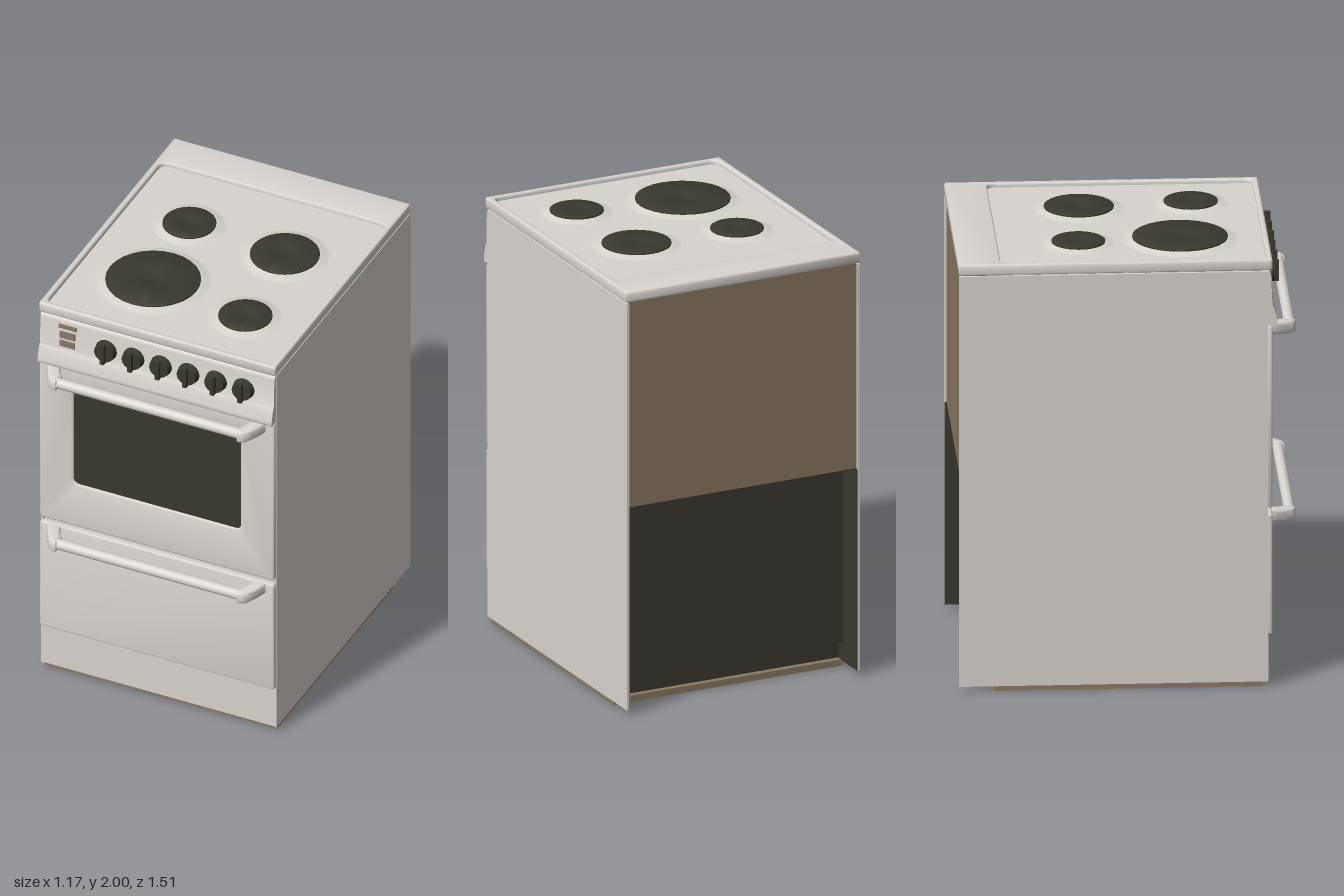
import * as THREE from 'three';
import { toCreasedNormals } from 'three/addons/utils/BufferGeometryUtils.js';

const mat = (name, color) => {
  const m = new THREE.MeshStandardMaterial({ color });
  m.name = name;
  return m;
};

// Rounded rectangle as a shape or hole path
function roundRect(x0, y0, x1, y1, r, Type = THREE.Shape) {
  const s = new Type();
  s.moveTo(x0 + r, y0);
  s.lineTo(x1 - r, y0);
  s.quadraticCurveTo(x1, y0, x1, y0 + r);
  s.lineTo(x1, y1 - r);
  s.quadraticCurveTo(x1, y1, x1 - r, y1);
  s.lineTo(x0 + r, y1);
  s.quadraticCurveTo(x0, y1, x0, y1 - r);
  s.lineTo(x0, y0 + r);
  s.quadraticCurveTo(x0, y0, x0 + r, y0);
  return s;
}

// Extrusion of exact overall depth with softened edges
function softExtrude(shape, depth, bevel) {
  const g = new THREE.ExtrudeGeometry(shape, {
    depth: depth - 2 * bevel, bevelEnabled: true, bevelSize: bevel, bevelThickness: bevel,
    bevelOffset: -bevel, bevelSegments: 3, curveSegments: 6,
  });
  g.translate(0, 0, bevel);
  return toCreasedNormals(g, 0.7);
}

export function createModel() {
  const enamel = mat('enamel', 0xd8d4cf);
  const dark = mat('darkIron', 0x3a392f);
  const brown = mat('brownMetal', 0x8a7a62);
  const root = new THREE.Group();
  root.name = 'cooker';

  const add = (name, geo, material, parent = root) => {
    const m = new THREE.Mesh(geo, material);
    m.name = name;
    parent.add(m);
    return m;
  };
  // Box given by its limits
  const box = (name, x0, x1, y0, y1, z0, z1, material, parent) => {
    const g = new THREE.BoxGeometry(x1 - x0, y1 - y0, z1 - z0);
    g.translate((x0 + x1) / 2, (y0 + y1) / 2, (z0 + z1) / 2);
    return add(name, g, material, parent);
  };

  // Carcass, base and back
  box('carcass', -0.568, 0.568, 0.03, 1.95, -0.56, 0.605, enamel);
  box('basePlate', -0.57, 0.57, 0, 0.03, -0.6, 0.6, brown);
  box('upperBackPanel', -0.568, 0.568, 0.98, 1.95, -0.745, -0.56, brown);
  box('upperBackUnderside', -0.567, 0.567, 0.974, 0.98, -0.744, -0.56, dark);
  box('recessedBackPanel', -0.567, 0.567, 0.12, 0.974, -0.625, -0.56, dark);
  box('recessFoot', -0.567, 0.567, 0.031, 0.12, -0.575, -0.56, dark);
  for (const s of [-1, 1]) {
    const a = s * 0.568, b = s * 0.58, c = s * 0.563;
    box('sidePanel', Math.min(a, b), Math.max(a, b), 0.025, 1.945, -0.755, 0.62, enamel);
    box('sideLiner', Math.min(a, c), Math.max(a, c), 0.027, 0.976, -0.753, -0.56, dark);
  }

  // Hob: raised rim around a sunken pan
  const rim = roundRect(-0.583, -0.64, 0.583, 0.755, 0.012);
  rim.holes.push(roundRect(-0.555, -0.615, 0.555, 0.567, 0.04, THREE.Path));
  const rimGeo = softExtrude(rim, 0.05, 0.008);
  rimGeo.rotateX(-Math.PI / 2);
  rimGeo.translate(0, 1.95, 0);
  add('hobRim', rimGeo, enamel);
  box('hobPan', -0.565, 0.565, 1.953, 1.98, -0.58, 0.625, enamel);

  // Hotplates on raised bosses: x, z, radius
  for (const [x, z, r] of [[-0.245, -0.205, 0.12], [0.24, -0.175, 0.156],
    [-0.205, 0.25, 0.213], [0.285, 0.325, 0.121]]) {
    const g = new THREE.Group();
    g.name = 'hotplate';
    g.position.set(x, 1.98, z);
    root.add(g);
    const lathe = (pts) => toCreasedNormals(
      new THREE.LatheGeometry(pts.map(([a, b]) => new THREE.Vector2(a, b)), 28), 0.6);
    add('hotplateBoss', lathe([[r + 0.045, 0], [r + 0.025, 0.003], [r + 0.008, 0.01], [r - 0.01, 0.011]]), enamel, g);
    add('hotplateDisc', lathe([[r, 0.005], [r, 0.016], [r - 0.005, 0.019], [0.05, 0.019],
      [0.042, 0.015], [0, 0.015]]), dark, g);
  }

  // Control panel with a lip along its lower edge
  const profile = new THREE.Shape();
  profile.moveTo(0.6, 1.69);
  profile.lineTo(0.66, 1.69);
  profile.quadraticCurveTo(0.667, 1.7, 0.661, 1.72);
  profile.quadraticCurveTo(0.652, 1.765, 0.64, 1.785);
  profile.lineTo(0.634, 1.925);
  profile.quadraticCurveTo(0.632, 1.943, 0.615, 1.945);
  profile.lineTo(0.6, 1.945);
  const panel = new THREE.ExtrudeGeometry(profile, { depth: 1.152, bevelEnabled: false, curveSegments: 6 });
  panel.rotateY(-Math.PI / 2);
  // Rotation sends profile x to +z and depth to -x
  panel.translate(0.576, 0, 0);
  add('controlPanel', toCreasedNormals(panel, 0.6), enamel);

  // Knobs with grip bars
  for (let i = 0; i < 6; i++) {
    const x = -0.25 + i * 0.1355;
    const disc = new THREE.CylinderGeometry(0.046, 0.053, 0.035, 24);
    disc.rotateX(Math.PI / 2);
    disc.translate(x, 1.84, 0.65);
    add('knob', toCreasedNormals(disc, 0.6), dark);
    box('knobGrip', x - 0.01, x + 0.01, 1.792, 1.888, 0.66, 0.688, dark);
  }

  // Indicator buttons
  box('indicatorStrip', -0.485, -0.395, 1.893, 1.913, 0.632, 0.64, brown);
  box('upperButton', -0.478, -0.403, 1.843, 1.877, 0.632, 0.644, brown);
  box('lowerButton', -0.478, -0.403, 1.798, 1.83, 0.632, 0.644, brown);

  // Oven door with a rounded window
  const door = roundRect(-0.577, 0.835, 0.577, 1.685, 0.012);
  door.holes.push(roundRect(-0.412, 1.063, 0.412, 1.567, 0.03, THREE.Path));
  const doorGeo = softExtrude(door, 0.036, 0.008);
  doorGeo.translate(0, 0, 0.605);
  add('ovenDoor', doorGeo, enamel);
  box('ovenWindow', -0.42, 0.42, 1.055, 1.575, 0.624, 0.631, dark);

  // Drawer and plinth
  const drawer = softExtrude(roundRect(-0.577, 0.24, 0.577, 0.81, 0.012), 0.036, 0.008);
  drawer.translate(0, 0, 0.605);
  add('drawer', drawer, enamel);
  box('drawerGap', -0.566, 0.566, 0.23, 0.245, 0.604, 0.622, brown);
  box('plinth', -0.577, 0.577, 0.03, 0.232, 0.6, 0.622, enamel);

  // Handles: a bar held by swept end brackets
  const bracketShape = new THREE.Shape();
  bracketShape.moveTo(0.538, -0.635);
  bracketShape.quadraticCurveTo(0.53, -0.67, 0.495, -0.725);
  bracketShape.quadraticCurveTo(0.48, -0.752, 0.445, -0.752);
  bracketShape.lineTo(0.442, -0.695);
  bracketShape.quadraticCurveTo(0.465, -0.675, 0.475, -0.635);
  for (const [name, y] of [['ovenHandle', 1.655], ['drawerHandle', 0.777]]) {
    const g = new THREE.Group();
    g.name = name;
    g.position.y = y;
    root.add(g);
    const bar = new THREE.CylinderGeometry(0.025, 0.025, 0.92, 20);
    bar.rotateZ(Math.PI / 2);
    bar.translate(0, 0, 0.723);
    add('handleBar', bar, enamel, g);
    for (const s of [-1, 1]) {
      const shape = s > 0 ? bracketShape
        : new THREE.Shape(bracketShape.getPoints(6).map((p) => new THREE.Vector2(-p.x, p.y)));
      const b = softExtrude(shape, 0.056, 0.012);
      b.rotateX(-Math.PI / 2);
      // Brackets droop towards the bar
      const p = b.attributes.position;
      for (let i = 0; i < p.count; i++) p.setY(i, p.getY(i) - 0.022 - (p.getZ(i) - 0.635) * 0.1);
      add('handleBracket', toCreasedNormals(b, 0.8), enamel, g);
    }
  }
  return root;
}
